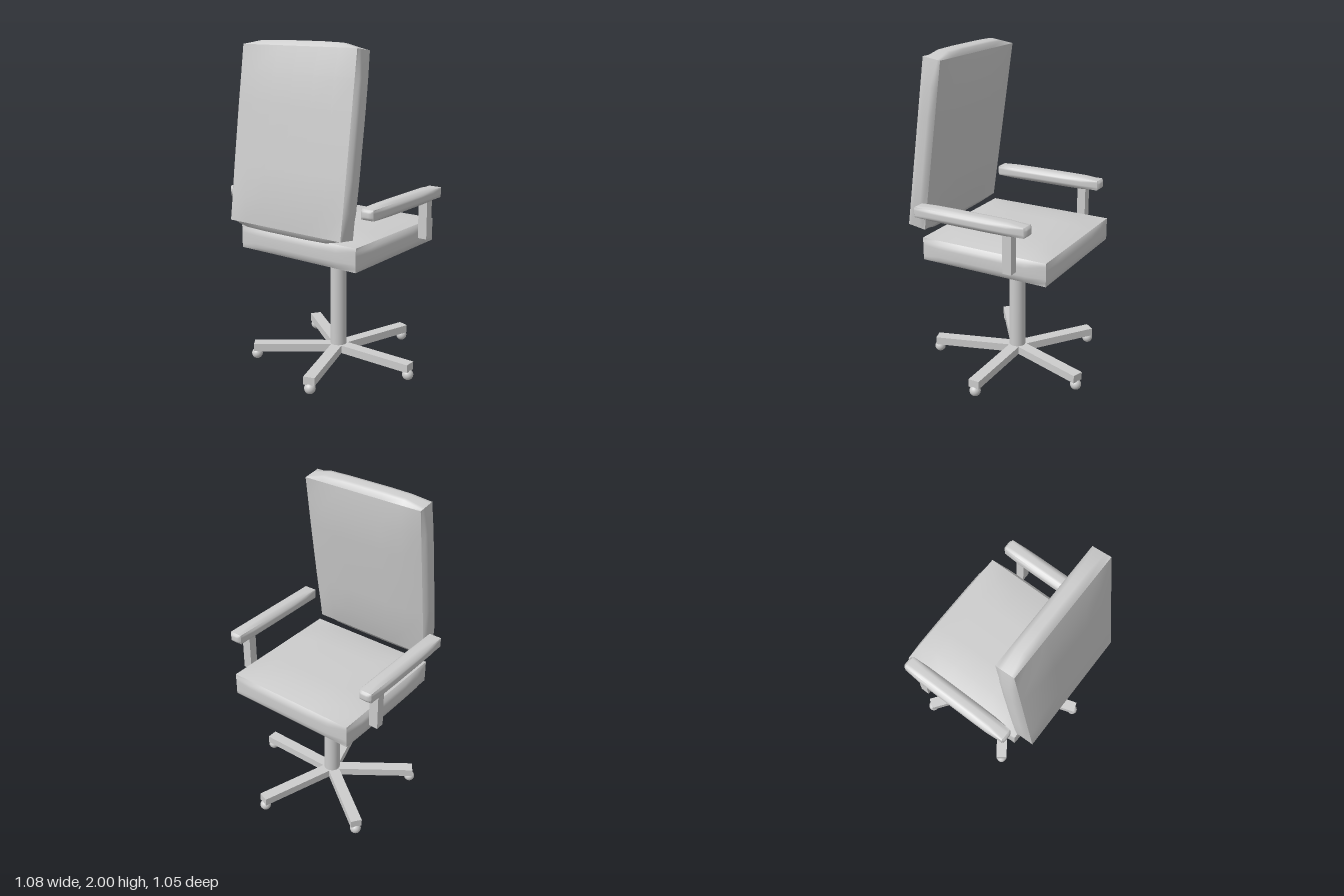
import * as THREE from 'three';

const grey = new THREE.MeshStandardMaterial({ color: 0xcccccc });
grey.name = 'light grey';

function add(parent, name, geometry, x, y, z) {
  const mesh = new THREE.Mesh(geometry, grey);
  mesh.name = name;
  mesh.position.set(x, y, z);
  parent.add(mesh);
  return mesh;
}

// Padded box: straight creased edges, each face puffed outwards by its own bulge
function cushion(half, bulge) {
  const geo = new THREE.BoxGeometry(2, 2, 2, 6, 6, 6);
  const pos = geo.attributes.position;
  const nor = geo.attributes.normal;
  const knots = [0, 0.36, 0.7, 1];
  const puff = (t) => 1 - Math.abs(t) ** 6;
  for (let i = 0; i < pos.count; i++) {
    const p = [pos.getX(i), pos.getY(i), pos.getZ(i)]
      .map((v) => Math.sign(v) * knots[Math.round(Math.abs(v) * 3)]);
    const n = [nor.getX(i), nor.getY(i), nor.getZ(i)];
    const axis = n.findIndex((v) => Math.abs(v) > 0.5);
    const lift = puff(p[(axis + 1) % 3]) * puff(p[(axis + 2) % 3]);
    const q = p.map((v, k) => v * half[k]);
    q[axis] += n[axis] * bulge[axis] * lift;
    pos.setXYZ(i, ...q);
  }
  geo.computeVertexNormals();
  return geo;
}

export function createModel() {
  const chair = new THREE.Group();
  chair.name = 'officeChair';
  const body = new THREE.Group();
  body.name = 'chairBody';
  body.position.x = -0.01;
  chair.add(body);

  // Seat and tilted backrest
  add(body, 'seat', cushion([0.42, 0.07, 0.41], [0.023, 0.028, 0.018]), 0, 0.832, -0.003);
  const back = add(body, 'backrest', cushion([0.4, 0.51, 0.058], [0.022, 0.033, 0.026]), 0, 1.457, 0.39);
  back.rotation.x = -0.145;

  // Armrests on posts
  for (const side of [-1, 1]) {
    const label = side > 0 ? 'left' : 'right';
    const x = side * 0.481;
    add(body, label + 'Armrest', cushion([0.04, 0.03, 0.358], [0.012, 0.012, 0.014]), x, 1.096, 0.03);
    add(body, label + 'ArmPost', new THREE.BoxGeometry(0.058, 0.24, 0.055), x, 0.95, -0.216);
  }

  // Central column
  add(body, 'column', new THREE.CylinderGeometry(0.051, 0.051, 0.69, 32), 0, 0.415, 0);

  // Five-legged base with ball casters
  for (let i = 0; i < 5; i++) {
    const leg = new THREE.Group();
    leg.name = 'baseLeg' + (i + 1);
    leg.rotation.y = (i * Math.PI * 2) / 5;
    add(leg, 'legBar', new THREE.BoxGeometry(0.533, 0.05, 0.07), 0.2665, 0.084, 0);
    add(leg, 'caster', new THREE.SphereGeometry(0.034, 20, 14), 0.517, 0.034, 0);
    body.add(leg);
  }
  return chair;
}
